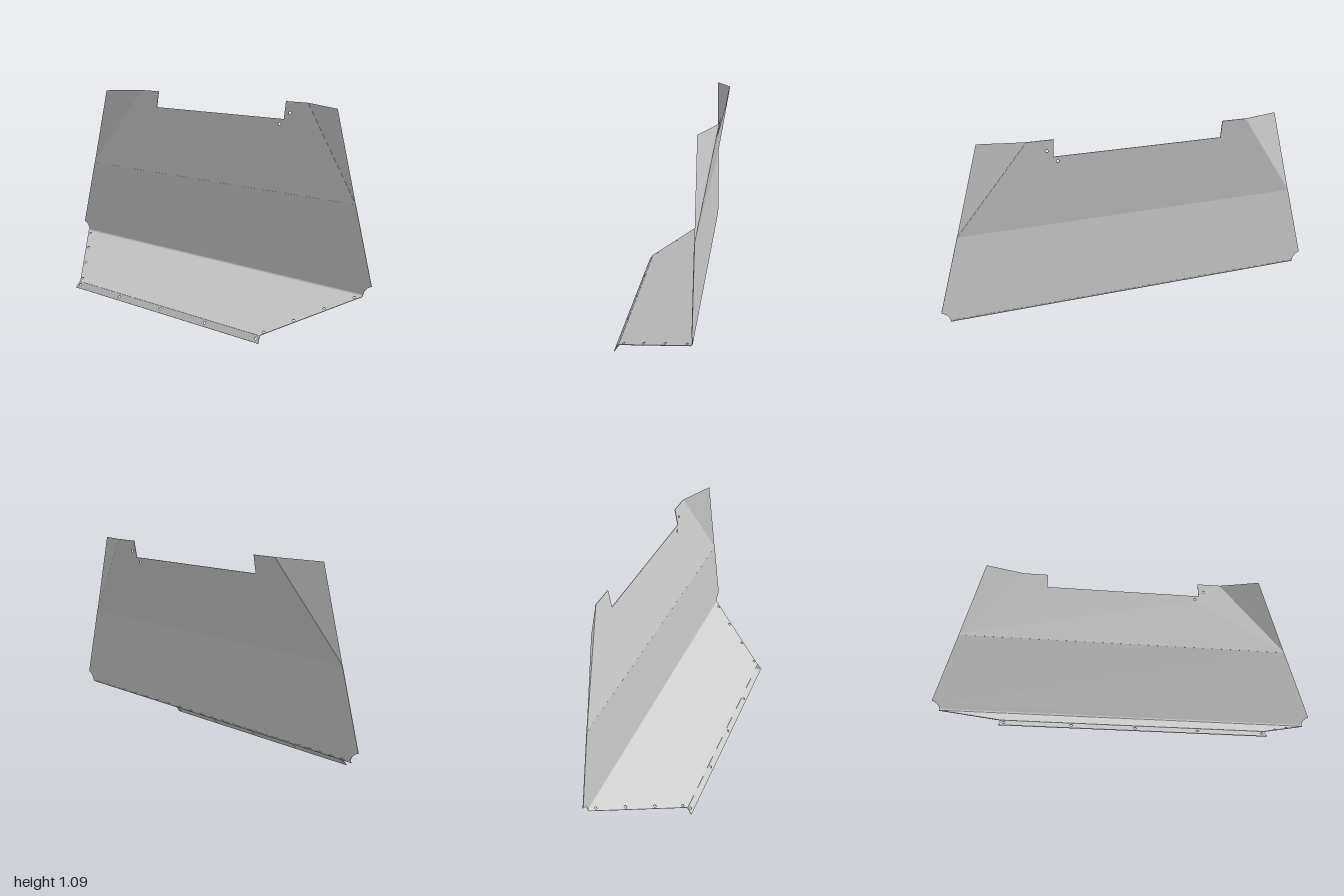
import * as THREE from 'three';

const T = 0.003; // sheet thickness
const material = new THREE.MeshStandardMaterial({ color: 0xcccccc, side: THREE.DoubleSide });

// Flat symmetric panel running from edge a to edge b, each [y, z].
// half: right-hand outline as [x, c], where c is the y (axis 0) or z (axis 1) coordinate.
function panel(name, a, b, axis, half, holes = []) {
  const length = Math.hypot(b[0] - a[0], b[1] - a[1]);
  const along = c => (c - a[axis]) / (b[axis] - a[axis]) * length;
  const right = half.map(([x, c]) => new THREE.Vector2(x, along(c)));
  const left = right.map(p => new THREE.Vector2(-p.x, p.y)).reverse();
  const shape = new THREE.Shape([...right, ...left]);
  for (const [x, c] of holes) {
    for (const s of x === 0 ? [1] : [1, -1]) {
      shape.holes.push(new THREE.Path().absarc(s * x, along(c), 0.007, 0, Math.PI * 2, true));
    }
  }
  const geometry = new THREE.ExtrudeGeometry(shape, { depth: T, bevelEnabled: false, curveSegments: 8 });
  geometry.translate(0, 0, -T / 2);
  const u = new THREE.Vector3(1, 0, 0);
  const v = new THREE.Vector3(0, b[0] - a[0], b[1] - a[1]).normalize();
  const frame = new THREE.Matrix4().makeBasis(u, v, u.clone().cross(v)).setPosition(0, a[0], a[1]);
  geometry.applyMatrix4(frame);
  const mesh = new THREE.Mesh(geometry, material);
  mesh.name = name;
  return mesh;
}

// Triangular corner folded forward from the leaning upper panel
function cornerWing(name, side) {
  const points = [[0.897, 0.64, -0.16], [0.78, 1.08, -0.16], [0.565, 1.088, -0.239]]
    .map(([x, y, z]) => new THREE.Vector3(side * x, y, z));
  if (side < 0) points.reverse();
  const geometry = new THREE.BufferGeometry().setFromPoints(points);
  geometry.computeVertexNormals();
  const mesh = new THREE.Mesh(geometry, material);
  mesh.name = name;
  return mesh;
}

export function createModel() {
  const group = new THREE.Group();
  group.name = 'foldedSheetPanel';

  // Fold lines as [y, z]
  const lipEdge = [0.001, 0.239], lipFold = [0.032, 0.217];
  const floorBack = [0.202, -0.148], wallBottom = [0.217, -0.16];
  const wallTop = [0.64, -0.16], topEdge = [1.088, -0.239];

  // Front lip
  group.add(panel('frontLip', lipEdge, lipFold, 1,
    [[0.64, 0.239], [0.632, 0.217]],
    [[0, 0.227], [0.302, 0.227], [0.617, 0.227]]));

  // Sloping floor, with fixing holes along its tapered sides
  group.add(panel('floor', lipFold, floorBack, 1,
    [[0.632, 0.217], [0.64, 0.205], [0.955, -0.148]],
    [[0.636, 0.192], [0.73, 0.083], [0.827, -0.028], [0.925, -0.135]]));

  // Rounded bend between floor and wall
  const bend = new THREE.QuadraticBezierCurve(
    new THREE.Vector2(...floorBack), new THREE.Vector2(0.207, -0.16), new THREE.Vector2(...wallBottom)).getPoints(4);
  for (let i = 0; i < 4; i++) {
    const a = bend[i].toArray(), b = bend[i + 1].toArray();
    group.add(panel('bend', a, b, 0, [[0.958, a[0]], [0.958, b[0]]]));
  }

  // Upright wall, with curved relief notches at its lower corners
  const notch = new THREE.QuadraticBezierCurve(
    new THREE.Vector2(0.958, 0.217), new THREE.Vector2(0.966, 0.247), new THREE.Vector2(1, 0.26)).getPoints(6);
  group.add(panel('wall', wallBottom, wallTop, 0,
    [...notch.map(p => p.toArray()), [0.897, 0.64]]));

  // Leaning upper panel with a wide cut-out along the top
  group.add(panel('upperPanel', wallTop, topEdge, 0,
    [[0.897, 0.64], [0.565, 1.088], [0.435, 1.088], [0.435, 1.0]],
    [[0, 0.975], [0.206, 0.975], [0.412, 0.975], [0.466, 1.033]]));

  group.add(cornerWing('leftWing', 1), cornerWing('rightWing', -1));
  return group;
}
